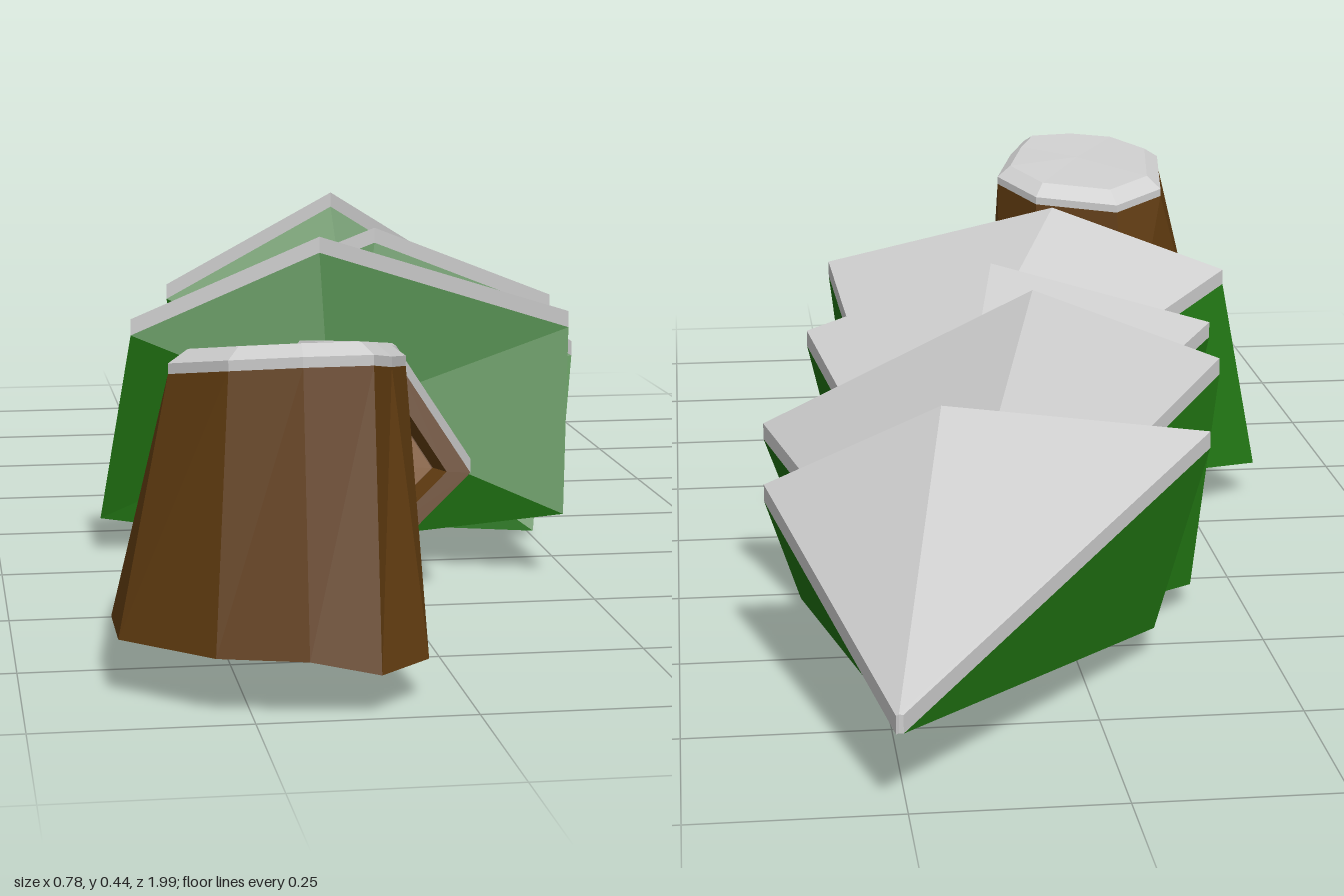
import * as THREE from 'three';

const mat = (color) => new THREE.MeshStandardMaterial({ color, flatShading: true });
const SNOW = mat(0xcccccc), GREEN = mat(0x207312), BARK = mat(0x613c10), WOOD = mat(0x855a30);

const lerp = (a, b, t) => a.map((v, i) => v + (b[i] - v) * t);
const shift = (p, dy, dz = 0) => [p[0], p[1] + dy, p[2] + dz];
const centre = (ring) => [0, 1, 2].map((k) => ring.reduce((s, p) => s + p[k], 0) / ring.length);
const shrink = (ring, t, dy = 0, dz = 0) => ring.map((p) => shift(lerp(p, centre(ring), t), dy, dz));

// Closed faceted solid through rings of equal count, turned outward by its signed volume
function loft(rings) {
  const tris = [];
  const n = rings[0].length;
  for (let r = 0; r < rings.length - 1; r++) {
    for (let i = 0; i < n; i++) {
      const j = (i + 1) % n, a = rings[r], b = rings[r + 1];
      tris.push([a[i], a[j], b[j]], [a[i], b[j], b[i]]);
    }
  }
  const first = rings[0], last = rings[rings.length - 1];
  const c0 = centre(first), c1 = centre(last);
  for (let i = 0; i < n; i++) {
    const j = (i + 1) % n;
    tris.push([c0, first[j], first[i]], [c1, last[i], last[j]]);
  }
  const v = (p) => new THREE.Vector3(...p).sub(new THREE.Vector3(...c0));
  const volume = tris.reduce((s, [a, b, c]) => s + v(a).dot(v(b).cross(v(c))), 0);
  const flat = tris.map(([a, b, c]) => (volume < 0 ? [a, c, b] : [a, b, c])).flat(2);
  const g = new THREE.BufferGeometry();
  g.setAttribute('position', new THREE.Float32BufferAttribute(flat, 3));
  g.computeVertexNormals();
  return g;
}

function add(parent, name, geometry, material) {
  const mesh = new THREE.Mesh(geometry, material);
  mesh.name = name;
  parent.add(mesh);
}

// Snow sheet between a front edge and a back edge, one slab per facet
function snowSheet(parent, front, back, depth) {
  for (let i = 0; i < front.length - 1; i++) {
    const section = (e) => [e[i], e[i + 1], shift(e[i + 1], -depth), shift(e[i], -depth)];
    add(parent, 'snow', loft([section(front), section(back)]), SNOW);
  }
}

// Branch tiers: rim runs ridge, upper left, lower left, bottom, lower right, upper right
const TIERS = [
  { apex: [0.2, 0.16, -0.3], rim: [[-0.06, 0.44, 0.17], [0.265, 0.345, 0.27], [0.235, 0.09, 0.38],
    [-0.08, 0.02, 0.2], [-0.36, 0.05, 0.13], [-0.32, 0.335, 0.19]] },
  { apex: [0.18, 0.15, -0.6], rim: [[0.06, 0.42, -0.1], [0.313, 0.322, -0.06], [0.25, 0.012, 0.13],
    [-0.04, 0.003, -0.01], [-0.19, 0.006, -0.08], [-0.26, 0.31, -0.03]] },
  { apex: [0.2, 0.13, -0.8], rim: [[0.035, 0.445, -0.37], [0.38, 0.23, -0.2], [0.33, 0.035, -0.05],
    [0, 0.01, -0.26], [-0.18, 0.03, -0.35], [-0.23, 0.32, -0.27]] },
  { apex: [0.26, 0.115, -1], rim: [[0.17, 0.345, -0.55], [0.388, 0.23, -0.48], [0.34, 0.035, -0.36],
    [0.1, 0.025, -0.48], [-0.1, 0.04, -0.54], [-0.18, 0.28, -0.48]] },
];

function branchTier({ rim, apex }) {
  const tier = new THREE.Group();
  tier.name = 'branchTier';
  const depth = 0.022;
  const tip = rim.map((p) => lerp(p, apex, 0.985));
  const underSnow = (ring) => ring.map((p, i) => ([0, 1, 5].includes(i) ? shift(p, -depth) : p));
  add(tier, 'foliage', loft([underSnow(rim), underSnow(tip)]), GREEN);
  const top = (ring) => [ring[5], ring[0], ring[1]];
  snowSheet(tier, top(rim), top(tip), depth);
  return tier;
}

// Fallen trunk with a hollowed cut end
function trunk() {
  const group = new THREE.Group();
  group.name = 'trunk';
  const end = [[0, 0.33, 0.44], [0.088, 0.19, 0.49], [0, 0.085, 0.49], [-0.1, 0.042, 0.48],
    [-0.19, 0.1, 0.46], [-0.21, 0.22, 0.41], [-0.12, 0.335, 0.41]];
  const far = end.map((p) => {
    const q = lerp(p, centre(end), 0.4);
    return [q[0] + 0.08, q[1] + 0.01, 0.1];
  });
  const depth = 0.018;
  const underSnow = (ring) => ring.map((p, i) => ([0, 1, 5, 6].includes(i) ? shift(p, -depth) : p));
  const cut = underSnow(end);
  add(group, 'bark', loft([underSnow(far), cut, shrink(cut, 0.18), shrink(cut, 0.26, 0, -0.025)]), BARK);
  add(group, 'cutWood', loft([shrink(cut, 0.27, 0, -0.03), shrink(cut, 0.27, 0, -0.022)]), WOOD);
  const top = (ring) => [ring[5], ring[6], ring[0], ring[1]];
  snowSheet(group, top(end), top(far), depth);
  return group;
}

// Standing stump with a snow cap
function stump() {
  const group = new THREE.Group();
  group.name = 'stump';
  const base = [[-0.39, 0.07, 0.87], [-0.29, 0.07, 0.97], [-0.19, 0.07, 1], [-0.11, 0.052, 1],
    [-0.045, 0.05, 0.93], [-0.05, 0.06, 0.77], [-0.09, 0.065, 0.68], [-0.25, 0.07, 0.625], [-0.39, 0.07, 0.76]];
  const rim = [[-0.33, 0.37, 0.86], [-0.27, 0.383, 0.93], [-0.19, 0.388, 0.95], [-0.11, 0.387, 0.94],
    [-0.08, 0.375, 0.88], [-0.045, 0.358, 0.77], [-0.1, 0.338, 0.69], [-0.23, 0.328, 0.655], [-0.31, 0.345, 0.7]];
  add(group, 'bark', loft([base, rim]), BARK);
  add(group, 'snowCap', loft([rim, shrink(rim, 0, 0.012), shrink(rim, 0.16, 0.028)]), SNOW);
  return group;
}

export function createModel() {
  const model = new THREE.Group();
  model.name = 'fallenSnowyTree';
  model.add(stump(), trunk(), ...TIERS.map(branchTier));
  return model;
}
